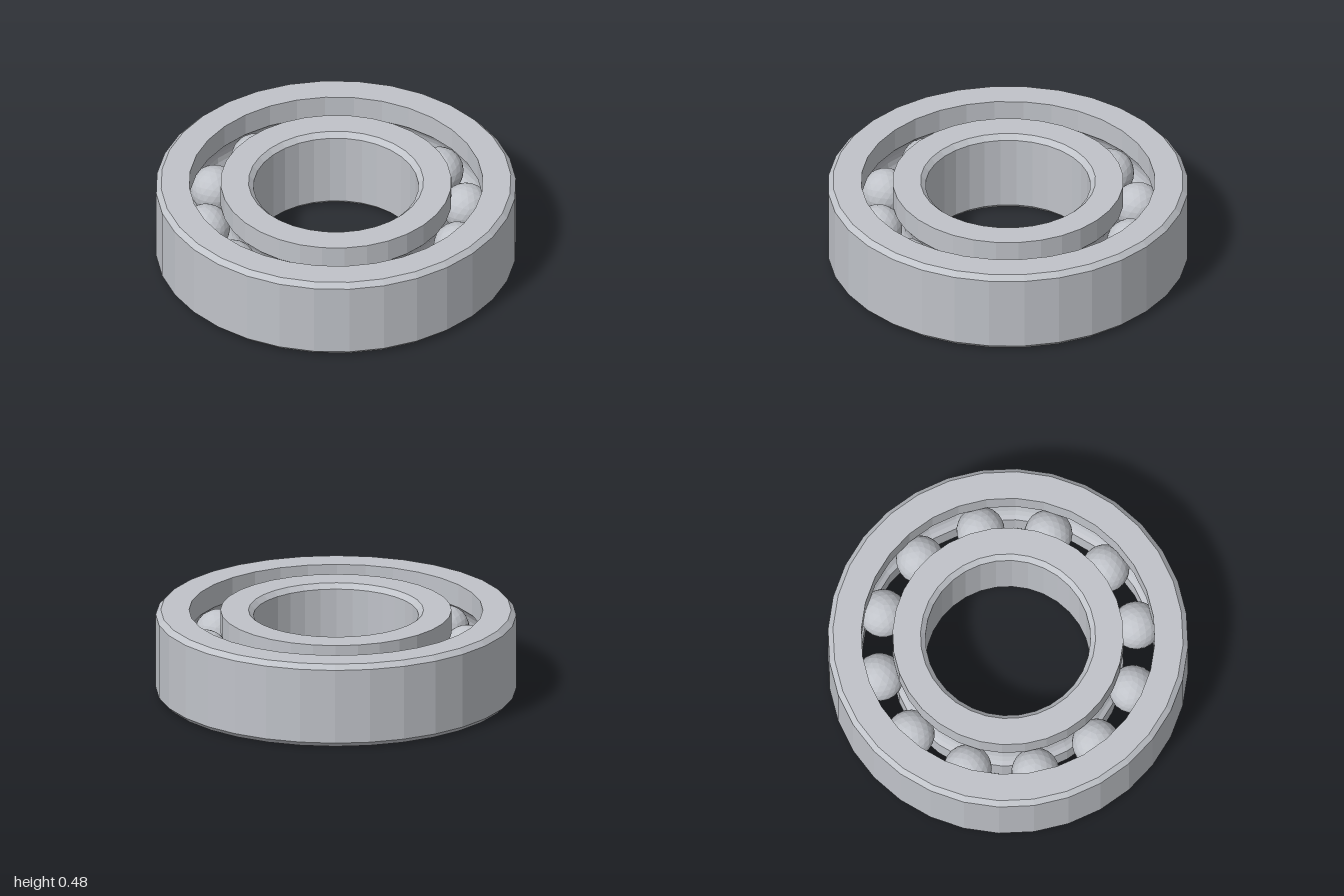
import * as THREE from 'three';

const HEIGHT = 0.48, MID = HEIGHT / 2;
const PITCH = 0.728, BALL_RADIUS = 0.134, GROOVE_RADIUS = 0.138;
const CHAMFER = 0.028, SEGMENTS = 32, BALLS = 12;

// Arc of the ball groove, cut into a wall at radius r, in the direction dir (+1 up, -1 down)
function groove(r, dir) {
  const side = Math.sign(r - PITCH);
  const half = Math.acos(Math.abs(r - PITCH) / GROOVE_RADIUS);
  const points = [];
  for (let i = 0; i <= 8; i++) {
    const a = dir * half * (i / 4 - 1);
    points.push([PITCH + side * GROOVE_RADIUS * Math.cos(a), MID + GROOVE_RADIUS * Math.sin(a)]);
  }
  return points;
}

// Revolved closed section, listed counterclockwise in (radius, height)
function ring(name, section, material) {
  const points = [...section, section[0]].map(([r, y]) => new THREE.Vector2(r, y));
  const geometry = new THREE.LatheGeometry(points, SEGMENTS).toNonIndexed();
  geometry.computeVertexNormals();
  const mesh = new THREE.Mesh(geometry, material);
  mesh.name = name;
  return mesh;
}

export function createModel() {
  const steel = new THREE.MeshStandardMaterial({ color: 0xc0c3c9 });
  steel.name = 'steel';
  const model = new THREE.Group();
  model.name = 'ballBearing';

  // Outer race: chamfered outside, grooved inside
  const outerBore = 0.815;
  model.add(ring('outerRace', [
    [outerBore, 0], [1 - CHAMFER, 0], [1, CHAMFER],
    [1, HEIGHT - CHAMFER], [1 - CHAMFER, HEIGHT], [outerBore, HEIGHT],
    ...groove(outerBore, -1),
  ], steel));

  // Inner race: chamfered bore, grooved outside
  const innerRim = 0.641, bore = 0.458;
  model.add(ring('innerRace', [
    [bore + CHAMFER, 0], [innerRim, 0],
    ...groove(innerRim, 1),
    [innerRim, HEIGHT], [bore + CHAMFER, HEIGHT],
    [bore, HEIGHT - CHAMFER], [bore, CHAMFER],
  ], steel));

  // Faceted balls, each with a vertex pointing up
  const ballGeometry = new THREE.IcosahedronGeometry(BALL_RADIUS, 3);
  ballGeometry.rotateZ(Math.atan(2 / (1 + Math.sqrt(5))));
  ballGeometry.computeVertexNormals();
  const balls = new THREE.Group();
  balls.name = 'balls';
  for (let i = 0; i < BALLS; i++) {
    const a = (i / BALLS) * Math.PI * 2;
    const ball = new THREE.Mesh(ballGeometry, steel);
    ball.name = `ball${i + 1}`;
    ball.position.set(PITCH * Math.sin(a), MID, PITCH * Math.cos(a));
    ball.rotation.y = a;
    balls.add(ball);
  }
  model.add(balls);
  return model;
}
